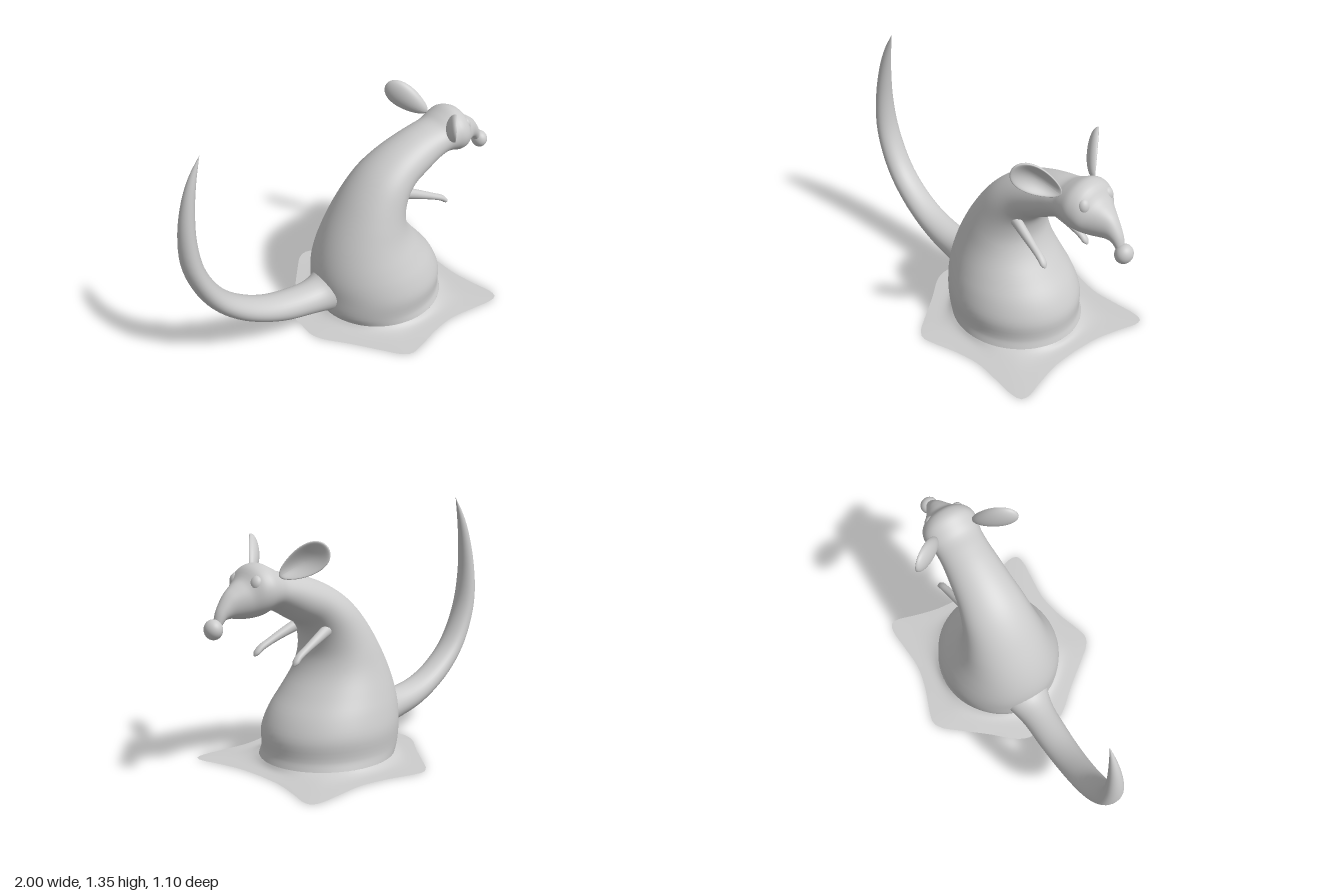
import * as THREE from 'three';

const material = new THREE.MeshStandardMaterial({ color: 0xcccccc, side: THREE.DoubleSide });
const V = (x, y, z) => new THREE.Vector3(x, y, z);

function addMesh(group, name, geometry) {
  const mesh = new THREE.Mesh(geometry, material);
  mesh.name = name;
  group.add(mesh);
  return mesh;
}

// Closed-ring surface: point(angle, v) with v running 0..1 along the length
function ringSurface(point, segments, steps) {
  const pos = [], idx = [];
  for (let j = 0; j <= steps; j++)
    for (let i = 0; i < segments; i++)
      pos.push(...point((i / segments) * Math.PI * 2, j / steps).toArray());
  for (let j = 0; j < steps; j++)
    for (let i = 0; i < segments; i++) {
      const a = j * segments + i, b = j * segments + (i + 1) % segments;
      idx.push(a, b, b + segments, a, b + segments, a + segments);
    }
  const geo = new THREE.BufferGeometry();
  geo.setAttribute('position', new THREE.Float32BufferAttribute(pos, 3));
  geo.setIndex(idx);
  geo.computeVertexNormals();
  return geo;
}

// Smooth loft through ellipses: [edge A x, y, edge B x, y, half width in z, centre z]
function loft(rows, segments, side = 1) {
  const edgeA = new THREE.CatmullRomCurve3(rows.map(r => V(r[0], r[1], r[4])));
  const edgeB = new THREE.CatmullRomCurve3(rows.map(r => V(r[2], r[3], (r[5] || 0) * side)));
  return ringSurface((t, v) => {
    const a = edgeA.getPoint(v), b = edgeB.getPoint(v), c = Math.cos(t);
    return V(
      (a.x + b.x) / 2 + c * (a.x - b.x) / 2,
      (a.y + b.y) / 2 + c * (a.y - b.y) / 2,
      b.z + Math.sin(t) * a.z);
  }, segments, (rows.length - 1) * 4);
}

// Back/top edge, belly/chin edge, half width
const bodyRows = [
  [-0.15, 0.035, 0.6, 0.035, 0.36],
  [-0.18, 0.09, 0.588, 0.08, 0.352],
  [-0.185, 0.2, 0.585, 0.18, 0.357],
  [-0.185, 0.3, 0.54, 0.28, 0.335],
  [-0.165, 0.4, 0.46, 0.38, 0.3],
  [-0.12, 0.52, 0.385, 0.48, 0.26],
  [-0.05, 0.65, 0.35, 0.56, 0.23],
  [0.04, 0.78, 0.345, 0.62, 0.205],
  [0.14, 0.88, 0.36, 0.69, 0.185],
  [0.26, 0.955, 0.4, 0.745, 0.165],
  [0.4, 1.01, 0.48, 0.79, 0.15],
  [0.5, 1.035, 0.56, 0.835, 0.14],
  [0.58, 1.05, 0.62, 0.86, 0.14],
  [0.63, 1.075, 0.67, 0.855, 0.15],
  [0.69, 1.1, 0.71, 0.84, 0.155],
  [0.745, 1.085, 0.745, 0.835, 0.14],
  [0.79, 1.03, 0.785, 0.835, 0.105],
  [0.835, 1.0, 0.825, 0.84, 0.075],
  [0.875, 0.97, 0.86, 0.845, 0.052],
  [0.91, 0.925, 0.89, 0.84, 0.038],
  [0.935, 0.88, 0.905, 0.825, 0.03],
  [0.95, 0.82, 0.925, 0.8, 0.02],
];

// Outer edge, inner edge, half width
const tailRows = [
  [-0.1, 0.06, -0.1, 0.36, 0.15],
  [-0.19, 0.08, -0.19, 0.29, 0.118],
  [-0.3, 0.1, -0.26, 0.275, 0.1],
  [-0.45, 0.135, -0.38, 0.283, 0.094],
  [-0.6, 0.2, -0.51, 0.312, 0.088],
  [-0.75, 0.3, -0.63, 0.37, 0.083],
  [-0.87, 0.43, -0.75, 0.465, 0.079],
  [-0.95, 0.58, -0.83, 0.58, 0.075],
  [-0.995, 0.75, -0.885, 0.72, 0.068],
  [-0.99, 0.95, -0.905, 0.89, 0.053],
  [-0.95, 1.13, -0.895, 1.06, 0.037],
  [-0.9, 1.25, -0.87, 1.21, 0.021],
  [-0.835, 1.35, -0.835, 1.35, 0],
];

// Upper edge, lower edge, half width, centre z
const armRows = [
  [0.29, 0.77, 0.28, 0.71, 0.03, 0.108],
  [0.345, 0.755, 0.33, 0.695, 0.028, 0.117],
  [0.42, 0.718, 0.405, 0.67, 0.025, 0.13],
  [0.5, 0.675, 0.485, 0.64, 0.021, 0.142],
  [0.56, 0.642, 0.545, 0.612, 0.021, 0.15],
  [0.588, 0.612, 0.568, 0.594, 0.019, 0.153],
  [0.593, 0.59, 0.585, 0.588, 0.006, 0.154],
  [0.59, 0.587, 0.59, 0.587, 0, 0.154],
];

// Spread-out hem on the ground, from a wavy star outline in to the body
function hemGeometry() {
  const outline = new THREE.CatmullRomCurve3([
    [-0.32, 0], [-0.32, 0.09], [-0.29, 0.16], [-0.18, 0.29], [-0.05, 0.455],
    [0, 0.515], [0.055, 0.547], [0.12, 0.535], [0.28, 0.482], [0.42, 0.456],
    [0.58, 0.466], [0.7, 0.475], [0.755, 0.462], [0.765, 0.42], [0.735, 0.31],
    [0.7, 0.16], [0.69, 0],
  ].map(([x, z]) => V(x, 0.003, z)));
  return ringSurface((t, v) => {
    const mirrored = t > Math.PI;
    const p = outline.getPointAt((mirrored ? 2 * Math.PI - t : t) / Math.PI);
    if (mirrored) p.z *= -1;
    const inner = V(0.225 - 0.375 * Math.cos(t), 0, 0.36 * Math.sin(t));
    p.lerp(inner, v);
    p.y = 0.003 + 0.008 * v + 0.024 * v ** 6;
    return p;
  }, 128, 14);
}

// Cupped, pear-shaped ear: a sphere with its front pushed in
function earGeometry(side) {
  const along = V(-0.55, 0.51, 0.66 * side).normalize();
  const facing = V(0.77, 0, 0.64 * side);
  facing.addScaledVector(along, -facing.dot(along)).normalize();
  const across = facing.clone().cross(along);
  const geo = new THREE.SphereGeometry(1, 40, 40);
  geo.rotateX(Math.PI / 2);
  const pos = geo.attributes.position;
  for (let i = 0; i < pos.count; i++) {
    const l = pos.getX(i), w = pos.getY(i), n = pos.getZ(i);
    const depth = n > 0 ? n * (0.9 - 1.55 * n) : n;
    pos.setXYZ(i, l * 0.14, w * 0.085 * (0.85 + 0.25 * l), depth * 0.045);
  }
  geo.computeVertexNormals();
  geo.applyMatrix4(new THREE.Matrix4().makeBasis(along, across, facing));
  return geo.translate(0.56, 1.108, 0.205 * side);
}

export function createModel() {
  const model = new THREE.Group();
  model.name = 'longNosedRodent';

  addMesh(model, 'bodyAndHead', loft(bodyRows, 64));
  addMesh(model, 'tail', loft(tailRows, 32));
  addMesh(model, 'groundHem', hemGeometry());

  const nose = addMesh(model, 'nose', new THREE.SphereGeometry(1, 32, 20));
  nose.scale.set(0.044, 0.05, 0.05);
  nose.position.set(0.955, 0.805, 0);

  // Paired parts
  for (const [name, side] of [['left', -1], ['right', 1]]) {
    addMesh(model, name + 'Ear', earGeometry(side));
    addMesh(model, name + 'Arm', loft(armRows, 20, side));
    const eye = addMesh(model, name + 'Eye', new THREE.SphereGeometry(1, 24, 16));
    eye.scale.set(0.03, 0.04, 0.034);
    eye.rotation.z = 0.25;
    eye.position.set(0.753, 1.012, 0.08 * side);
  }
  return model;
}
